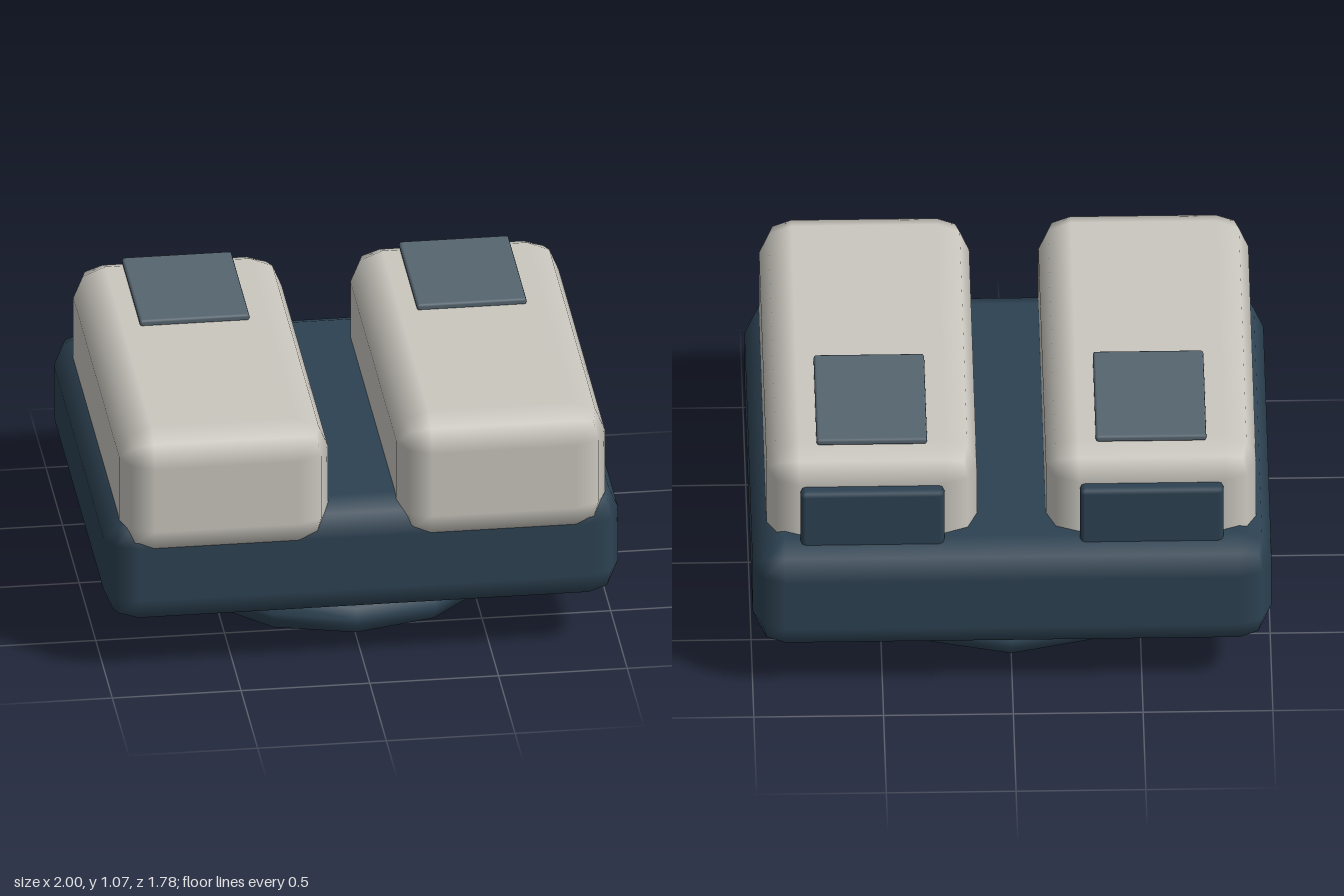
import * as THREE from 'three';
import { RoundedBoxGeometry } from 'three/addons/geometries/RoundedBoxGeometry.js';

const navy = new THREE.MeshStandardMaterial({ color: 0x2d4252 });
const slate = new THREE.MeshStandardMaterial({ color: 0x566570 });
const ivory = new THREE.MeshStandardMaterial({ color: 0xcac7bf });

// Bevelled box given by its minimum and maximum corners
function block(name, min, max, radius, material) {
  const size = max.map((v, i) => v - min[i]);
  const mesh = new THREE.Mesh(new RoundedBoxGeometry(...size, 1, radius), material);
  mesh.position.set(...max.map((v, i) => (v + min[i]) / 2));
  mesh.name = name;
  return mesh;
}

export function createModel() {
  const model = new THREE.Group();
  model.name = 'twinPodUnit';

  // Round foot with softened rims; the extra rings keep both caps flat
  const profile = [
    [0, 0], [0.565, 0], [0.575, 0], [0.62, 0.022], [0.635, 0.062],
    [0.635, 0.083], [0.62, 0.123], [0.575, 0.145], [0.565, 0.145], [0, 0.145],
  ].map(([r, y]) => new THREE.Vector2(r, y));
  const foot = new THREE.Mesh(new THREE.LatheGeometry(profile, 12), navy);
  foot.position.z = -0.018;
  foot.name = 'foot';
  model.add(foot);

  // Mounting plate and main body
  model.add(block('mountingPlate', [-0.6, 0.09, -0.53], [0.6, 0.28, 0.5], 0.065, slate));
  model.add(block('body', [-1, 0.21, -0.89], [1, 0.683, 0.853], 0.125, navy));

  // Two matching pods, each with a top panel and a rear cap
  for (const [side, x] of [['left', 0.538], ['right', -0.538]]) {
    const pod = new THREE.Group();
    pod.name = side + 'Pod';
    pod.position.x = x;
    pod.add(block('podShell', [-0.405, 0.523, -0.745], [0.405, 1.042, 0.89], 0.125, ivory));
    pod.add(block('topPanel', [-0.213, 1.037, -0.65], [0.213, 1.065, -0.095], 0.01, slate));
    pod.add(block('rearCap', [-0.277, 0.62, -0.797], [0.277, 0.915, -0.735], 0.02, navy));
    model.add(pod);
  }
  return model;
}
